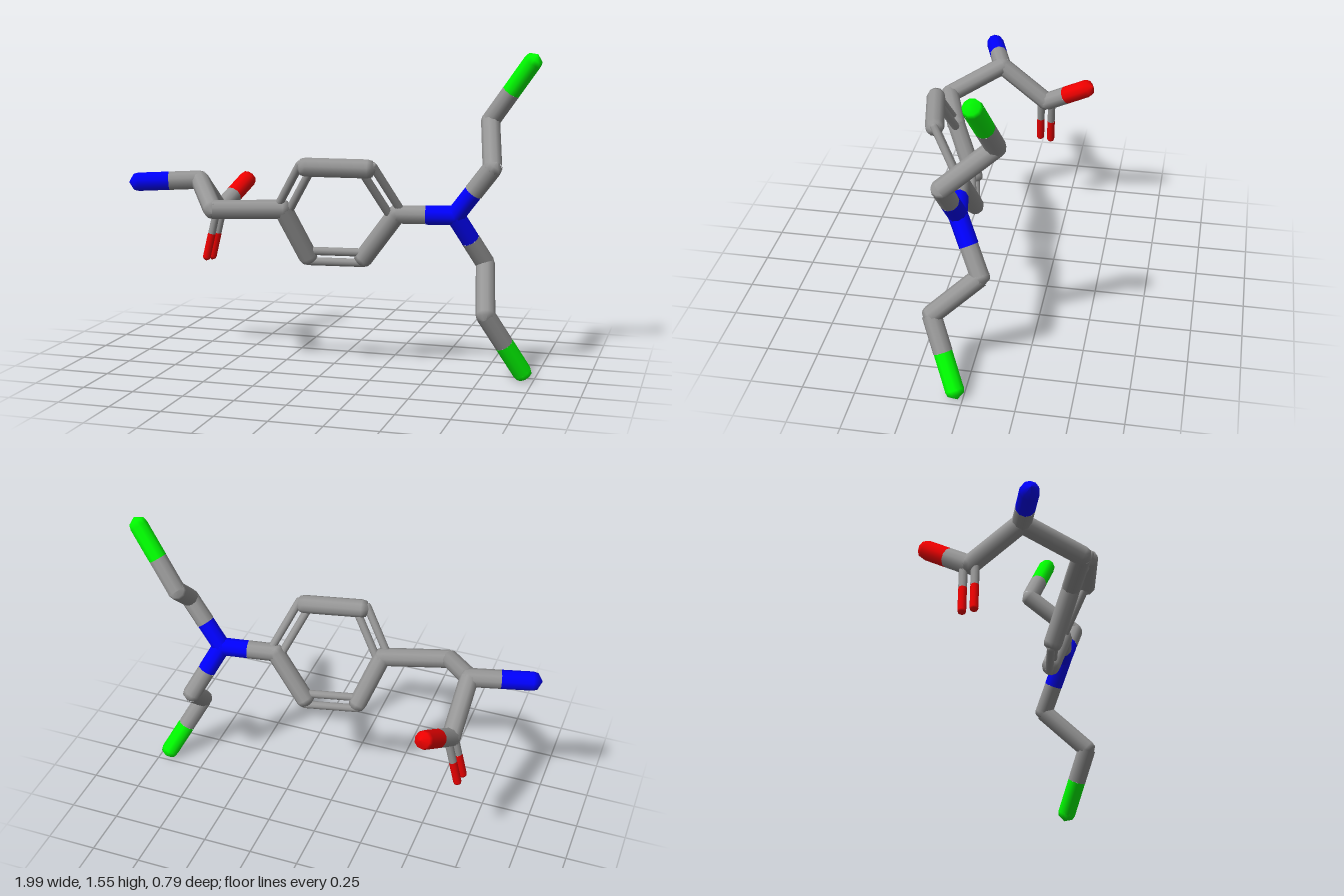
import * as THREE from 'three';

const R = 0.046;     // single stick radius
const THIN = 0.02;   // radius of each stick in a double bond
const GAP = 0.029;   // offset of each thin stick from the bond axis

const MATERIALS = {
  C: new THREE.MeshStandardMaterial({ color: 0x979797 }),
  N: new THREE.MeshStandardMaterial({ color: 0x0000ff }),
  O: new THREE.MeshStandardMaterial({ color: 0xee0000 }),
  Cl: new THREE.MeshStandardMaterial({ color: 0x00ff00 }),
};

// Atoms: element, position
const ATOMS = {
  amineN: ['N', -0.955, 0.905, 0.19],
  alphaC: ['C', -0.665, 0.915, 0.1],
  betaC: ['C', -0.5, 0.81, 0.35],
  acidC: ['C', -0.655, 0.73, -0.14],
  hydroxylO: ['O', -0.585, 0.86, -0.355],
  carbonylO: ['O', -0.71, 0.485, -0.13],
  ring1: ['C', -0.18, 0.81, 0.25],
  ring2: ['C', -0.045, 1.025, 0.32],
  ring3: ['C', 0.24, 1.02, 0.265],
  ring4: ['C', 0.345, 0.79, 0.125],
  ring5: ['C', 0.175, 0.565, 0.09],
  ring6: ['C', -0.09, 0.57, 0.145],
  centreN: ['N', 0.62, 0.79, 0.08],
  upperC1: ['C', 0.8, 1.025, 0.115],
  upperC2: ['C', 0.745, 1.225, -0.12],
  upperCl: ['Cl', 0.95, 1.51, -0.06],
  lowerC1: ['C', 0.745, 0.545, -0.045],
  lowerC2: ['C', 0.79, 0.34, 0.175],
  lowerCl: ['Cl', 0.945, 0.045, 0.04],
};

const SINGLE = [
  ['amineN', 'alphaC'], ['alphaC', 'betaC'], ['alphaC', 'acidC'], ['acidC', 'hydroxylO'],
  ['betaC', 'ring1'], ['ring2', 'ring3'], ['ring4', 'ring5'], ['ring6', 'ring1'],
  ['ring4', 'centreN'], ['centreN', 'upperC1'], ['upperC1', 'upperC2'], ['upperC2', 'upperCl'],
  ['centreN', 'lowerC1'], ['lowerC1', 'lowerC2'], ['lowerC2', 'lowerCl'],
];

// The third atom fixes the plane in which the pair of sticks lies
const DOUBLE = [
  ['ring1', 'ring2', 'ring3'], ['ring3', 'ring4', 'ring5'], ['ring5', 'ring6', 'ring1'],
  ['acidC', 'carbonylO', 'hydroxylO'],
];

const UP = new THREE.Vector3(0, 1, 0);
const position = (name) => new THREE.Vector3(...ATOMS[name].slice(1));

// A faceted ball: blunt point, bevelled shoulder and full-width waist
const CAP_PROFILE = [[0, -1], [0.87, -0.5], [1, 0], [0.87, 0.5], [0, 1]];

function addCap(group, name, element, at, radius, axis) {
  const profile = CAP_PROFILE.map(([x, y]) => new THREE.Vector2(x * radius, y * radius));
  const cap = new THREE.Mesh(new THREE.LatheGeometry(profile, 10), MATERIALS[element]);
  cap.name = name;
  cap.position.copy(at);
  cap.quaternion.setFromUnitVectors(UP, axis);
  group.add(cap);
}

function addRod(group, name, element, a, b, radius) {
  const along = b.clone().sub(a);
  const rod = new THREE.Mesh(
    new THREE.CylinderGeometry(radius, radius, along.length(), 10, 1, true), MATERIALS[element]);
  rod.name = name;
  rod.position.copy(a).add(b).multiplyScalar(0.5);
  rod.quaternion.setFromUnitVectors(UP, along.normalize());
  group.add(rod);
}

// A stick whose halves take the colours of the atoms they touch
function addStick(group, from, to, radius, offset = new THREE.Vector3()) {
  const a = position(from).add(offset);
  const b = position(to).add(offset);
  const middle = a.clone().lerp(b, 0.5);
  const ends = [[from, a], [to, b]];
  if (ATOMS[from][0] === ATOMS[to][0]) {
    addRod(group, 'stick', ATOMS[from][0], a, b, radius);
  } else {
    for (const [name, end] of ends) addRod(group, 'halfStick', ATOMS[name][0], end, middle, radius);
  }
  return ends;
}

export function createModel() {
  const model = new THREE.Group();
  model.name = 'stickMolecule';

  // Joints and tips, each with its pole along its first stick
  const joints = new THREE.Group();
  joints.name = 'joints';
  model.add(joints);
  for (const name of new Set(SINGLE.flat())) {
    const [from, to] = SINGLE.find((bond) => bond.includes(name));
    const axis = position(to).sub(position(from)).normalize();
    addCap(joints, name, ATOMS[name][0], position(name), R, axis);
  }

  // Thick single bonds
  const singles = new THREE.Group();
  singles.name = 'singleBonds';
  model.add(singles);
  for (const [from, to] of SINGLE) addStick(singles, from, to, R);

  // Paired thin sticks with small bevelled ends
  const doubles = new THREE.Group();
  doubles.name = 'doubleBonds';
  model.add(doubles);
  for (const [from, to, reference] of DOUBLE) {
    const axis = position(to).sub(position(from)).normalize();
    const side = position(reference).sub(position(from)).projectOnPlane(axis).normalize();
    for (const sign of [-1, 1]) {
      const offset = side.clone().multiplyScalar(sign * GAP);
      for (const [name, end] of addStick(doubles, from, to, THIN, offset)) {
        addCap(doubles, 'stickEnd', ATOMS[name][0], end, THIN, axis);
      }
    }
  }
  return model;
}
